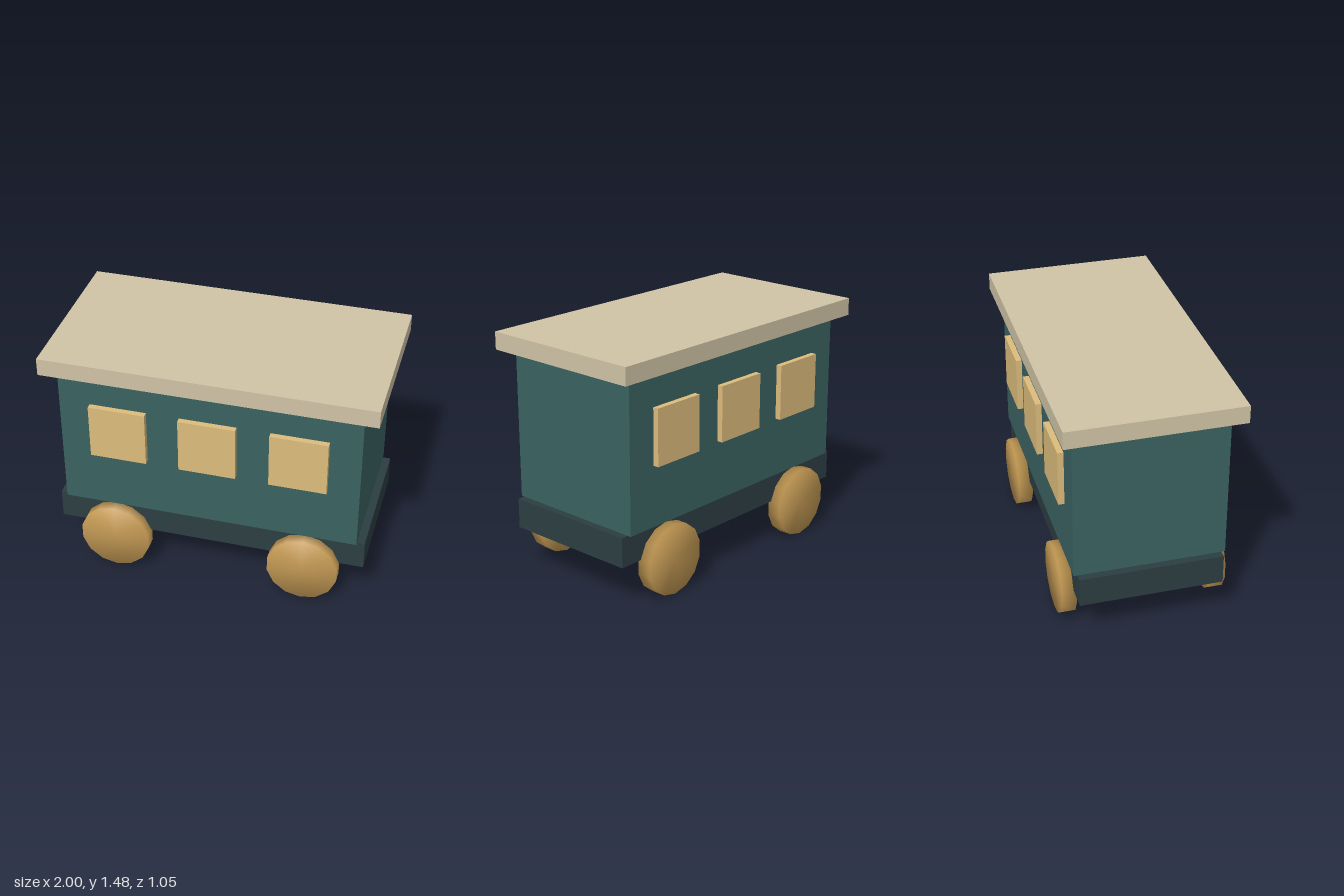
import * as THREE from 'three';
import { mergeVertices } from 'three/addons/utils/BufferGeometryUtils.js';

const paint = (color) => new THREE.MeshStandardMaterial({ color });

export function createModel() {
  const wagon = new THREE.Group();
  wagon.name = 'railwayCarriage';

  const add = (name, geometry, material, x, y, z) => {
    const mesh = new THREE.Mesh(geometry, material);
    mesh.name = name;
    mesh.position.set(x, y, z);
    wagon.add(mesh);
  };
  // Centred box spanning y0 to y1
  const slab = (name, width, y0, y1, depth, color) =>
    add(name, new THREE.BoxGeometry(width, y1 - y0, depth), paint(color), 0, (y0 + y1) / 2, 0);

  slab('chassis', 1.908, 0.265, 0.449, 0.864, 0x2c3e42);
  slab('body', 1.814, 0.449, 1.357, 0.91, 0x3a6361);
  slab('roof', 2, 1.367, 1.475, 1.046, 0xd0c4a6);

  // Wheels: 14-sided discs with normals blended over the rim
  const disc = new THREE.CylinderGeometry(0.219, 0.219, 0.09, 14).rotateX(Math.PI / 2);
  disc.deleteAttribute('normal');
  disc.deleteAttribute('uv');
  const wheel = mergeVertices(disc);
  wheel.computeVertexNormals();

  const pane = new THREE.BoxGeometry(0.345, 0.345, 0.072);
  const wheelPaint = paint(0xc49a54);
  const panePaint = paint(0xdcbc7c);

  for (const side of [1, -1]) {
    for (const x of [-0.591, 0.591]) add('wheel', wheel, wheelPaint, x, 0.219, side * 0.457);
    // Raised window panes
    for (const x of [-0.545, 0, 0.545]) add('window', pane, panePaint, x, 0.994, side * 0.455);
  }
  return wagon;
}
